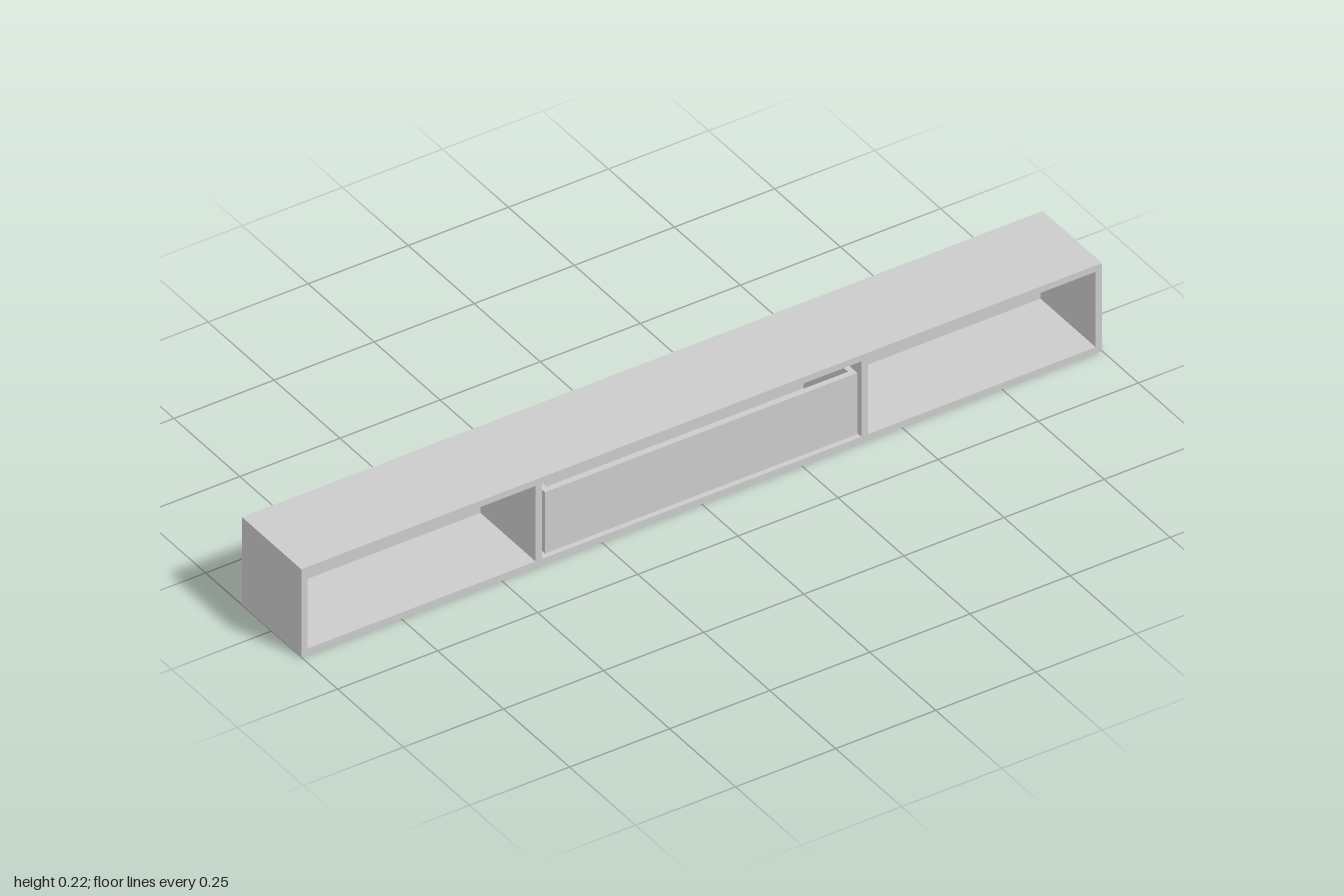
import * as THREE from 'three';

const W = 2, H = 0.225, D = 0.225, T = 0.016; // overall size and board thickness

export function createModel() {
  const group = new THREE.Group();
  const material = new THREE.MeshStandardMaterial({ color: 0xcccccc });

  function add(parent, name, geometry, x, y, z) {
    const mesh = new THREE.Mesh(geometry, material);
    mesh.name = name;
    mesh.position.set(x, y, z);
    parent.add(mesh);
    return mesh;
  }
  const box = (parent, name, w, h, d, x, y, z) =>
    add(parent, name, new THREE.BoxGeometry(w, h, d), x, y, z);

  // Outer boards, mitred where they meet; the long edge faces outwards
  function mitredBoard(name, length, x, y, angle) {
    const l = length / 2;
    const shape = new THREE.Shape([
      new THREE.Vector2(-l, 0), new THREE.Vector2(l, 0),
      new THREE.Vector2(l - T, T), new THREE.Vector2(-l + T, T),
    ]);
    const geometry = new THREE.ExtrudeGeometry(shape, { depth: D - T, bevelEnabled: false });
    add(group, name, geometry, x, y, -D / 2 + T).rotation.z = angle;
  }
  mitredBoard('bottomBoard', W, 0, 0, 0);
  mitredBoard('topBoard', W, 0, H, Math.PI);
  mitredBoard('leftEnd', H, W / 2, H / 2, Math.PI / 2);
  mitredBoard('rightEnd', H, -W / 2, H / 2, -Math.PI / 2);

  // Back panel closes the whole rear
  box(group, 'backPanel', W, H, T, 0, H / 2, -D / 2 + T / 2);

  // Upright dividers between the open bays and the drawer bay
  for (const s of [-1, 1])
    box(group, s > 0 ? 'leftDivider' : 'rightDivider',
      T, H - 2 * T, D - T, s * 0.407, H / 2, T / 2);

  // Drawer, with a finger gap left above its front
  const drawer = new THREE.Group();
  drawer.name = 'drawer';
  group.add(drawer);
  const w = 0.78, h = 0.157, y0 = 0.025, t = 0.014;
  const front = D / 2 - 0.002, back = -D / 2 + T + 0.01;
  const depth = front - back, mid = (front + back) / 2;
  box(drawer, 'drawerFront', w, h, t, 0, y0 + h / 2, front - t / 2);
  box(drawer, 'drawerBack', w, h, t, 0, y0 + h / 2, back + t / 2);
  for (const s of [-1, 1])
    box(drawer, s > 0 ? 'drawerLeftSide' : 'drawerRightSide',
      t, h, depth - 2 * t, s * (w - t) / 2, y0 + h / 2, mid);
  box(drawer, 'drawerBottom', w - 2 * t, t, depth - 2 * t, 0, y0 + t / 2, mid);

  return group;
}
